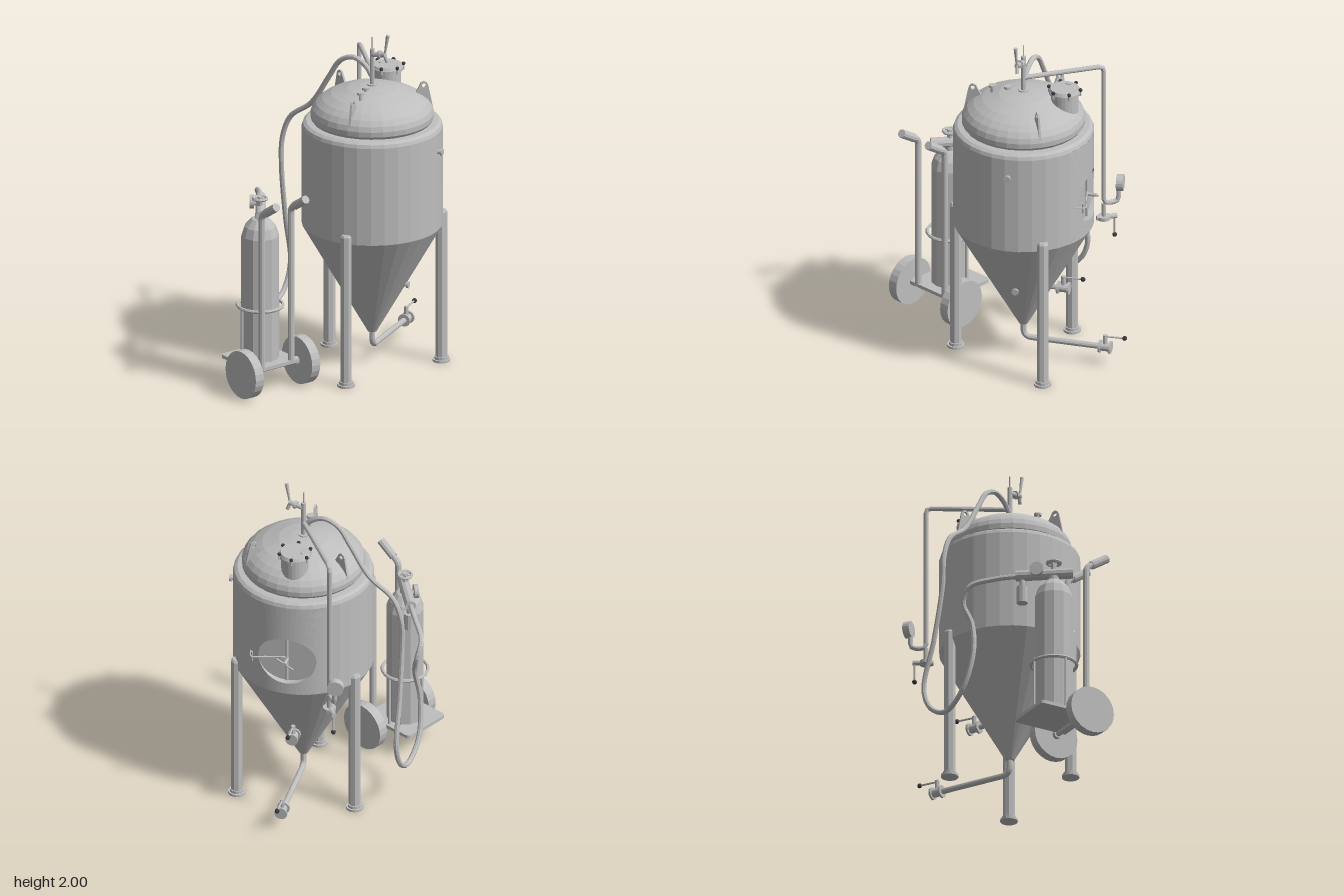
import * as THREE from 'three';
import { ParametricGeometry } from 'three/addons/geometries/ParametricGeometry.js';

const V = (x, y, z) => new THREE.Vector3(x, y, z);
const UP = V(0, 1, 0);

export function createModel() {
  const steel = new THREE.MeshStandardMaterial({ color: 0xbebebe, flatShading: true, side: THREE.DoubleSide });
  steel.name = 'steel';
  const dark = new THREE.MeshStandardMaterial({ color: 0x3c3c3c, flatShading: true });
  dark.name = 'darkKnobs';

  const model = new THREE.Group();
  model.name = 'fermenterWithGasCart';
  const group = (name, x = 0, y = 0, z = 0) => {
    const g = new THREE.Group();
    g.name = name;
    g.position.set(x, y, z);
    model.add(g);
    return g;
  };
  const add = (parent, name, geo, mat = steel) => {
    const m = new THREE.Mesh(geo, mat);
    m.name = name;
    parent.add(m);
    return m;
  };
  // straight cylinder between two points
  const rod = (parent, name, a, b, r, sides = 10, mat = steel, r2 = r) => {
    const d = b.clone().sub(a);
    const m = add(parent, name, new THREE.CylinderGeometry(r2, r, d.length(), sides), mat);
    m.position.copy(a).add(b).multiplyScalar(0.5);
    m.quaternion.setFromUnitVectors(UP, d.normalize());
    return m;
  };
  const ball = (parent, name, p, r) => add(parent, name, new THREE.SphereGeometry(r, 10, 8), dark).position.copy(p);
  // pipe with rounded corners
  const pipe = (parent, name, pts, r, bend = 0.04) => {
    const path = new THREE.CurvePath();
    let from = pts[0];
    for (let i = 1; i < pts.length - 1; i++) {
      const p = pts[i];
      const a = p.clone().add(pts[i - 1].clone().sub(p).setLength(bend));
      const b = p.clone().add(pts[i + 1].clone().sub(p).setLength(bend));
      path.add(new THREE.LineCurve3(from, a));
      path.add(new THREE.QuadraticBezierCurve3(a, p, b));
      from = b;
    }
    path.add(new THREE.LineCurve3(from, pts[pts.length - 1]));
    return add(parent, name, new THREE.TubeGeometry(path, 60, r, 10));
  };

  // ---- Tank, around its own axis
  const tank = group('tank', 0.2, 0, 0.118);
  const R = 0.4, PHI = 2.066, SEG = Math.PI / 16, HALF = 3 * SEG;
  const n = V(Math.sin(PHI), 0, Math.cos(PHI)), t = V(Math.cos(PHI), 0, -Math.sin(PHI));
  const lathe = (name, pts, start = PHI + HALF, len = Math.PI * 2, seg = 32) =>
    add(tank, name, new THREE.LatheGeometry(pts.map(p => new THREE.Vector2(...p)), seg, start, len));
  lathe('cone', [[0, 0.19], [0.025, 0.2], [R, 0.857]]);
  lathe('wall', [[R, 0.857], [R, 1.44]], PHI + HALF, Math.PI * 2 - 2 * HALF, 26);
  lathe('shoulder', [[R, 1.44], [0.393, 1.46], [0.375, 1.472], [0.335, 1.474]]);
  lathe('dome', [[0.335, 1.47], [0.349, 1.49], [0.351, 1.52], [0.342, 1.55], [0.32, 1.58], [0.285, 1.608],
    [0.235, 1.635], [0.14, 1.668], [0.07, 1.68], [0, 1.685]]);

  // wall panel around the oval door, its reveal and the flat door
  const CY = 1.075, EW = 0.4375, EH = 0.148, D = R * Math.cos(EW);
  const onWall = (s, y, out) => out.set(R * Math.sin(PHI + s), y, R * Math.cos(PHI + s));
  const onDoor = (side, y, out) => out.copy(n).multiplyScalar(D).addScaledVector(t, side).setY(y);
  add(tank, 'wallAroundDoor', new ParametricGeometry((u, v, out) => {
    const c = Math.cos(u * Math.PI * 2), s = Math.sin(u * Math.PI * 2), m = Math.max(Math.abs(c), Math.abs(s));
    const lerp = THREE.MathUtils.lerp;
    onWall(lerp(EW * c, HALF * c / m, v), CY + lerp(EH * s, s / m * (s > 0 ? 0.365 : 0.218), v), out);
  }, 48, 4));
  add(tank, 'doorReveal', new ParametricGeometry((u, v, out) => {
    const a = u * Math.PI * 2, s = EW * Math.cos(a), y = CY + EH * Math.sin(a), q = V(0, 0, 0);
    onWall(s, y, out);
    out.lerp(onDoor(R * Math.sin(s), y, q), v);
  }, 48, 1));
  add(tank, 'door', new ParametricGeometry((u, v, out) => {
    const a = u * Math.PI * 2;
    onDoor(R * Math.sin(EW * Math.cos(a)) * v, CY + EH * Math.sin(a) * v, out);
  }, 48, 1));
  // point at distance r along the door direction, shifted sideways
  const at = (r, y, side = 0) => n.clone().multiplyScalar(r).addScaledVector(t, side).setY(y);
  rod(tank, 'doorCrossbar', at(0.372, CY - 0.14), at(0.372, CY + 0.14), 0.008, 8);
  rod(tank, 'doorScrew', at(0.36, CY), at(0.43, CY), 0.01, 8);
  rod(tank, 'doorScrewHandle', at(0.425, CY - 0.03, 0.05), at(0.425, CY + 0.03, -0.05), 0.005, 6);
  pipe(tank, 'doorHinge', [at(0.375, CY + 0.015), at(0.40, CY + 0.015, -0.12), at(0.425, CY + 0.015, -0.2), at(0.36, CY + 0.015, -0.215)], 0.005, 0.02);
  rod(tank, 'doorHingePin', at(0.405, CY - 0.02, -0.195), at(0.405, CY + 0.04, -0.195), 0.006, 6);

  // legs, feet and lifting lugs, three of each
  const lug = new THREE.Shape([[0.24, 1.61], [0.345, 1.54], [0.32, 1.665], [0.312, 1.682], [0.295, 1.69], [0.278, 1.682], [0.27, 1.665]]
    .map(p => new THREE.Vector2(...p)));
  lug.holes.push(new THREE.Path().absarc(0.295, 1.665, 0.012, 0, Math.PI * 2, true));
  for (const a of [Math.PI / 2, Math.PI * 7 / 6, -Math.PI / 6]) {
    const g = new THREE.Group();
    g.name = 'legAndLug';
    g.rotation.y = a;
    tank.add(g);
    rod(g, 'leg', V(0.395, 0.03, 0), V(0.395, 0.9, 0), 0.034, 8);
    rod(g, 'legCap', V(0.395, 0.9, 0), V(0.395, 0.912, 0), 0.034, 8, steel, 0.026);
    rod(g, 'footNeck', V(0.395, 0.012, 0), V(0.395, 0.03, 0), 0.04, 12);
    rod(g, 'foot', V(0.395, 0, 0), V(0.395, 0.014, 0), 0.05, 16);
    add(g, 'liftingLug', new THREE.ExtrudeGeometry(lug, { depth: 0.012, bevelEnabled: false })).position.z = -0.006;
  }

  // hatch on the dome
  const hatch = group('hatch', 0.405, 0, -0.006);
  rod(hatch, 'hatchNeck', V(0, 1.57, 0), V(0, 1.7, 0), 0.078, 24);
  rod(hatch, 'hatchFlange', V(0, 1.695, 0), V(0, 1.71, 0), 0.09, 24);
  rod(hatch, 'hatchLid', V(0, 1.712, 0), V(0, 1.728, 0), 0.09, 24, steel, 0.082);
  rod(hatch, 'hatchHandle', V(-0.03, 1.732, -0.035), V(0.0, 1.732, -0.05), 0.005, 6);
  for (let i = 0; i < 6; i++) {
    const a = i * Math.PI / 3 + Math.PI / 6;
    const x = 0.092 * Math.cos(a), z = 0.092 * Math.sin(a);
    rod(hatch, 'hatchBolt', V(x, 1.69, z), V(x, 1.725, z), 0.006, 6);
    ball(hatch, 'hatchKnob', V(x, 1.725, z), 0.011);
  }

  // small ports on dome, wall and cone
  const ports = group('ports');
  for (const [x, z] of [[0.045, 0.21], [0.118, 0.163]]) {
    rod(ports, 'domePortStem', V(x, 1.62, z), V(x, 1.69, z), 0.011, 10);
    rod(ports, 'domePortCap', V(x, 1.685, z), V(x, 1.698, z), 0.022, 12);
  }
  const side = V(0.52, 0, 0.854);
  for (const [r, y] of [[0.38, 1.33], [0.175, 0.505]]) {
    const p = s => V(0.2, y, 0.118).addScaledVector(side, r + s);
    rod(ports, 'samplePort', p(0), p(0.045), 0.013, 10);
    rod(ports, 'samplePortRim', p(0.035), p(0.047), 0.02, 12);
  }

  // lever valves on the cone and at the drain
  const valve = (name, r, y) => {
    const g = new THREE.Group();
    g.name = name;
    tank.add(g);
    rod(g, 'valveBody', at(r - 0.03, y), at(r + 0.03, y), 0.025, 12);
    for (const s of [-0.03, 0.03]) rod(g, 'valveFlange', at(r + s - 0.006, y), at(r + s + 0.006, y), 0.037, 14);
    rod(g, 'valveStem', at(r, y), at(r, y + 0.075), 0.013, 8);
    rod(g, 'valveLever', at(r - 0.01, y + 0.066), at(r + 0.115, y + 0.07), 0.006, 6);
    ball(g, 'valveLeverKnob', at(r + 0.115, y + 0.07), 0.014);
  };
  rod(tank, 'coneOutlet', at(0.14, 0.455), at(0.24, 0.455), 0.016);
  valve('coneValve', 0.235, 0.455);
  pipe(tank, 'drainPipe', [V(0, 0.21, 0), V(0, 0.113, 0), at(0.49, 0.113)], 0.017, 0.05);
  valve('drainValve', 0.48, 0.113);

  // centre post with tap
  const top = group('topPost', 0.2, 0, 0.118);
  rod(top, 'post', V(0, 1.66, 0), V(0, 1.9, 0), 0.014);
  rod(top, 'postCollar', V(0, 1.675, 0), V(0, 1.69, 0), 0.03, 14);
  rod(top, 'postNeedle', V(0, 1.9, 0), V(0, 1.97, 0), 0.004, 6);
  rod(top, 'tapBody', V(0, 1.865, 0), V(0.028, 1.88, 0.085), 0.015);
  rod(top, 'tapSpout', V(0.024, 1.885, 0.075), V(0.038, 1.835, 0.09), 0.011, 8);
  rod(top, 'tapCollar', V(0.014, 1.872, 0.04), V(0.02, 1.876, 0.055), 0.024, 10);
  rod(top, 'tapHandle', V(0.027, 1.89, 0.083), V(0.034, 2.0, 0.1), 0.006, 8, steel, 0.011);

  // blow-off pipe running down the back, with gauge and valve
  const blow = group('blowOffPipe');
  pipe(blow, 'downPipe', [V(0.2, 1.765, 0.118), V(0.43, 1.765, -0.297), V(0.43, 0.89, -0.297), V(0.472, 0.89, -0.375), V(0.472, 0.97, -0.375)], 0.014, 0.03);
  const gc = V(0.475, 1.005, -0.385), gn = V(0.8, 0, -0.6);
  rod(blow, 'gauge', gc.clone().addScaledVector(gn, -0.02), gc.clone().addScaledVector(gn, 0.02), 0.048, 18);
  rod(blow, 'valveBranch', V(0.43, 0.89, -0.297), V(0.43, 0.79, -0.297), 0.014);
  rod(blow, 'valveFlange', V(0.43, 0.79, -0.297), V(0.43, 0.81, -0.297), 0.038, 14);
  rod(blow, 'valveCross', V(0.41, 0.8, -0.26), V(0.465, 0.8, -0.365), 0.015);
  rod(blow, 'valveLever', V(0.46, 0.8, -0.355), V(0.46, 0.68, -0.355), 0.006, 6);
  ball(blow, 'valveLeverKnob', V(0.46, 0.68, -0.355), 0.014);

  // gas hose from post to regulator
  const hose = new THREE.CatmullRomCurve3([[0.2, 1.73, 0.118], [0.185, 1.79, 0.075], [0.157, 1.825, 0], [0.125, 1.79, -0.08], [0.1, 1.68, -0.15],
    [0.06, 1.5, -0.26], [0.01, 1.39, -0.39], [-0.01, 1.25, -0.44], [-0.01, 1.08, -0.448], [0.04, 0.75, -0.475], [0.1, 0.45, -0.507], [0.04, 0.31, -0.49],
    [-0.06, 0.265, -0.455], [-0.18, 0.36, -0.42], [-0.235, 0.58, -0.38], [-0.2, 0.78, -0.37], [-0.175, 0.9, -0.41], [-0.22, 0.99, -0.4],
    [-0.3, 1.035, -0.28], [-0.39, 1.05, -0.15]].map(p => V(...p)));
  add(model, 'gasHose', new THREE.TubeGeometry(hose, 120, 0.015, 8));

  // ---- Gas bottle and cart
  const cart = group('gasCart', -0.505, 0, 0);
  add(cart, 'gasBottle', new THREE.LatheGeometry([[0, 0.165], [0.108, 0.165], [0.108, 0.9], [0.09, 0.955], [0.05, 1.0], [0.03, 1.005], [0.03, 1.03], [0, 1.03]]
    .map(p => new THREE.Vector2(...p)), 12)).position.z = -0.01;
  const hoop = add(cart, 'bottleHoop', new THREE.TorusGeometry(0.13, 0.01, 6, 20));
  hoop.rotation.x = Math.PI / 2;
  hoop.position.set(0, 0.48, -0.01);
  const s = new THREE.Shape(), w = 0.153, z0 = -0.155, z1 = 0.18, k = 0.025;
  s.moveTo(-w, z0).lineTo(w, z0).lineTo(w, z1 - k).quadraticCurveTo(w, z1, w - k, z1)
    .lineTo(k - w, z1).quadraticCurveTo(-w, z1, -w, z1 - k);
  const base = add(cart, 'basePlate', new THREE.ExtrudeGeometry(s, { depth: 0.02, bevelEnabled: false, curveSegments: 4 }));
  base.rotation.x = -Math.PI / 2;
  base.position.y = 0.147;
  rod(cart, 'axle', V(-0.21, 0.14, 0.108), V(0.21, 0.14, 0.108), 0.016);
  for (const x of [-1, 1]) {
    rod(cart, 'wheel', V(x * 0.173, 0.14, 0.108), V(x * 0.231, 0.14, 0.108), 0.14, 24);
    rod(cart, 'hub', V(x * 0.15, 0.14, 0.108), V(x * 0.18, 0.14, 0.108), 0.025, 10);
    rod(cart, 'hoopPost', V(x * 0.13, 0.16, -0.01), V(x * 0.13, 0.48, -0.01), 0.008, 6);
    pipe(cart, 'handlePost', [V(x * 0.105, 0.15, 0.14), V(x * 0.105, 1.085, 0.14), V(x * 0.105, 1.15, 0.25)], 0.019, 0.03);
    rod(cart, 'grip', V(x * 0.105, 1.105, 0.175), V(x * 0.105, 1.17, 0.275), 0.025, 10);
  }
  rod(cart, 'backHoopPost', V(0, 0.16, -0.14), V(0, 0.48, -0.14), 0.008, 6);

  // regulator with handwheel, gauge and hanging canister
  rod(cart, 'regulatorBody', V(-0.065, 1.05, 0.08), V(0.135, 1.05, -0.18), 0.031, 10);
  rod(cart, 'bottleValve', V(0, 1.02, -0.01), V(0, 1.13, -0.01), 0.016, 8);
  const wheel = add(cart, 'handwheel', new THREE.TorusGeometry(0.038, 0.009, 6, 14));
  wheel.rotation.x = Math.PI / 2;
  wheel.position.set(0, 1.118, -0.01);
  for (const a of [0, 1, 2]) {
    const x = 0.038 * Math.cos(a * Math.PI / 3), z = 0.038 * Math.sin(a * Math.PI / 3);
    rod(cart, 'handwheelSpoke', V(-x, 1.118, -0.01 - z), V(x, 1.118, -0.01 + z), 0.005, 6);
  }
  rod(cart, 'regulatorGaugeStem', V(0.06, 1.05, -0.08), V(0.015, 1.06, -0.115), 0.012, 8);
  rod(cart, 'regulatorGauge', V(0.03, 1.065, -0.105), V(0.01, 1.065, -0.12), 0.04, 16);
  rod(cart, 'canisterStem', V(0.115, 1.04, -0.15), V(0.115, 0.97, -0.15), 0.015, 8);
  rod(cart, 'canister', V(0.115, 0.98, -0.15), V(0.115, 0.88, -0.15), 0.032, 12);

  return model;
}
